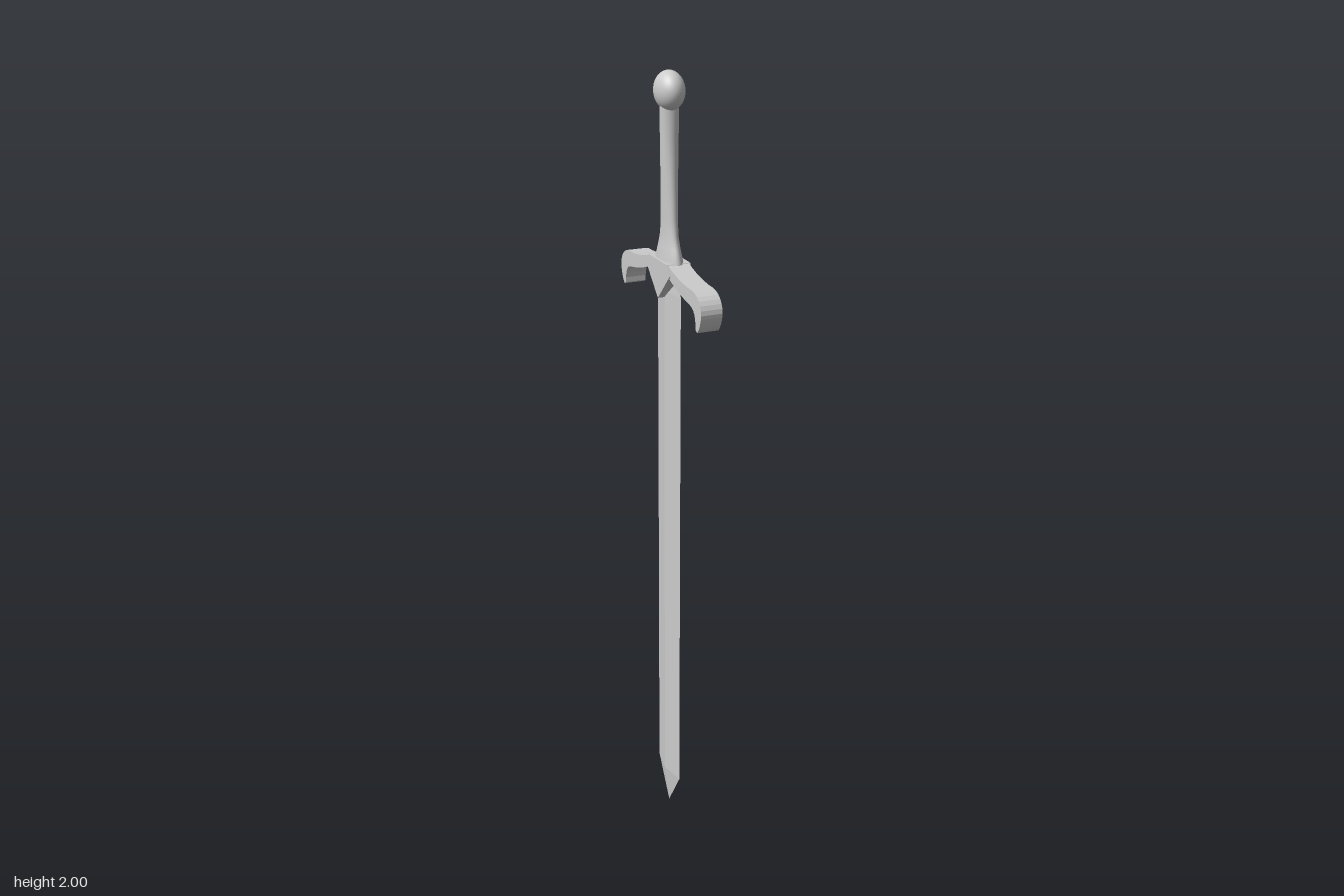
import * as THREE from 'three';
import { mergeVertices } from 'three/addons/utils/BufferGeometryUtils.js';

const smooth = new THREE.MeshStandardMaterial({ color: 0xcccccc });
const flat = new THREE.MeshStandardMaterial({ color: 0xcccccc, flatShading: true });

// Elliptical rings [y, half width in x, half width in z], listed from top to bottom
function loft(rings, sides) {
  const geo = new THREE.CylinderGeometry(1, 1, 1, sides, rings.length - 1, true);
  const pos = geo.attributes.position;
  for (let i = 0; i < pos.count; i++) {
    const [y, rx, rz] = rings[Math.floor(i / (sides + 1))];
    pos.setXYZ(i, pos.getX(i) * rx, y, pos.getZ(i) * rz);
  }
  geo.deleteAttribute('uv');
  geo.deleteAttribute('normal');
  const merged = mergeVertices(geo);
  merged.computeVertexNormals();
  return merged;
}

// Side outline (z, y) extruded symmetrically across x
function plate(shape, halfWidth) {
  const geo = new THREE.ExtrudeGeometry(shape, { depth: 2 * halfWidth, bevelEnabled: false, curveSegments: 6 });
  geo.translate(0, 0, -halfWidth);
  geo.rotateY(Math.PI / 2);
  return geo;
}

// Drooping quillon with a hooked end; side is +1 or -1
function armShape(side) {
  const s = new THREE.Shape();
  s.moveTo(0, 1.56);
  s.lineTo(side * 0.05, 1.56);
  s.quadraticCurveTo(side * 0.12, 1.535, side * 0.19, 1.535);
  s.bezierCurveTo(side * 0.225, 1.533, side * 0.243, 1.51, side * 0.243, 1.488);
  s.quadraticCurveTo(side * 0.24, 1.46, side * 0.222, 1.442);
  s.lineTo(side * 0.213, 1.447);
  s.bezierCurveTo(side * 0.213, 1.475, side * 0.205, 1.493, side * 0.18, 1.497);
  s.quadraticCurveTo(side * 0.12, 1.505, side * 0.055, 1.53);
  s.lineTo(0, 1.48);
  return s;
}

export function createModel() {
  const group = new THREE.Group();
  const add = (name, geo, mat) => {
    const mesh = new THREE.Mesh(geo, mat);
    mesh.name = name;
    group.add(mesh);
    return mesh;
  };

  // Diamond-section blade with narrowed shoulders and a pointed tip
  add('blade', loft([
    [1.54, 0, 0], [1.54, 0.013, 0.05], [1.48, 0.013, 0.069],
    [0.11, 0.013, 0.069], [0, 0, 0],
  ], 4), flat);

  // Crossguard arms
  add('guardLeftArm', plate(armShape(1), 0.027), flat);
  add('guardRightArm', plate(armShape(-1), 0.027), flat);

  // V-shaped centre of the guard
  const v = new THREE.Shape();
  v.moveTo(-0.07, 1.535);
  v.lineTo(0, 1.465);
  v.lineTo(0.07, 1.535);
  v.lineTo(0.055, 1.56);
  v.lineTo(-0.055, 1.56);
  add('guardCentre', plate(v, 0.03), flat);

  // Oval grip, flared at the guard
  add('grip', loft([
    [1.93, 0.024, 0.018], [1.85, 0.022, 0.022], [1.75, 0.019, 0.028],
    [1.66, 0.017, 0.034], [1.62, 0.017, 0.038], [1.59, 0.02, 0.049], [1.56, 0.025, 0.061],
    [1.54, 0.025, 0.061],
  ], 24), smooth);

  // Flattened ball pommel
  const pommel = add('pommel', new THREE.SphereGeometry(1, 32, 20), smooth);
  pommel.scale.set(0.035, 0.046, 0.048);
  pommel.position.y = 1.954;

  return group;
}
